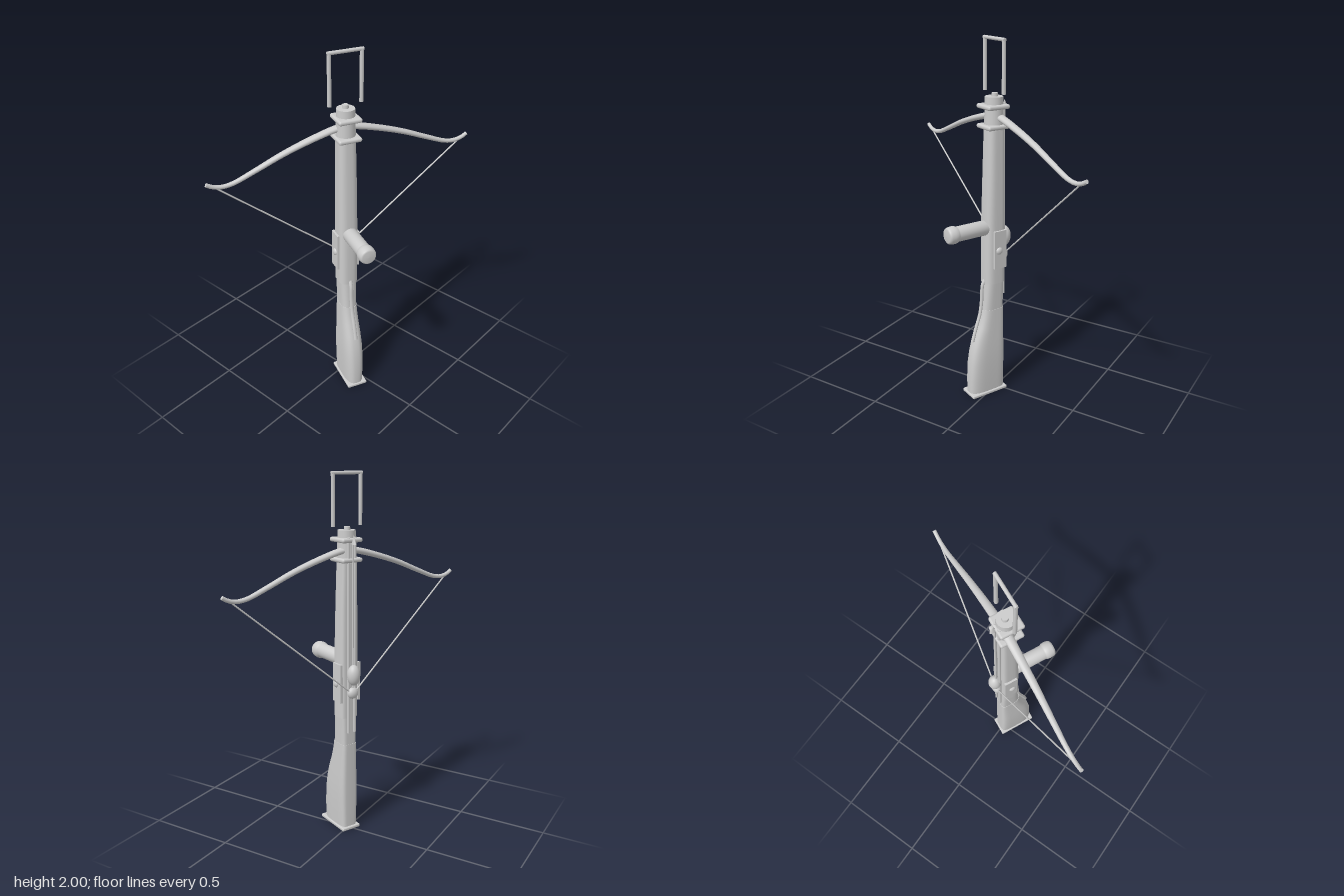
import * as THREE from 'three';
import { RoundedBoxGeometry } from 'three/addons/geometries/RoundedBoxGeometry.js';

const grey = new THREE.MeshStandardMaterial({ color: 0xcccccc });
grey.name = 'light grey';
const V = (x, y, z) => new THREE.Vector3(x, y, z);

// Skin a stack of closed rings and cap both ends
function skin(rings) {
  const n = rings[0].length, pos = [], idx = [];
  const push = p => pos.push(p.x, p.y, p.z) / 3 - 1;
  rings.forEach(r => r.forEach(push));
  for (let i = 0; i < rings.length - 1; i++) {
    for (let j = 0; j < n; j++) {
      const a = i * n + j, b = i * n + (j + 1) % n;
      idx.push(a, a + n, b, b, a + n, b + n);
    }
  }
  [rings[0], rings[rings.length - 1]].forEach((r, end) => {
    const c = r.reduce((s, p) => s.add(p), V(0, 0, 0)).divideScalar(n);
    const ci = push(c), first = r.map(push)[0];
    for (let j = 0; j < n; j++) {
      const a = first + j, b = first + (j + 1) % n;
      if (end) idx.push(ci, b, a); else idx.push(ci, a, b);
    }
  });
  const g = new THREE.BufferGeometry();
  g.setAttribute('position', new THREE.Float32BufferAttribute(pos, 3));
  g.setIndex(idx);
  g.computeVertexNormals();
  return g;
}

// Stock cross-section: rounded in front, squarer along the rail side
function stockRing([y, w, z0, z1]) {
  return Array.from({ length: 40 }, (_, k) => {
    const a = k / 40 * Math.PI * 2, c = Math.cos(a), s = Math.sin(a);
    const e = s > 0 ? 0.7 : 0.4;
    return V(Math.sign(c) * Math.abs(c) ** e * w / 2, y,
      (z0 + z1) / 2 + Math.sign(s) * Math.abs(s) ** e * (z1 - z0) / 2);
  });
}

export function createModel() {
  const root = new THREE.Group();
  root.name = 'crossbow';
  const bow = new THREE.Group();
  bow.name = 'body';
  bow.rotation.y = -0.437;
  root.add(bow);

  const add = (name, geo, x = 0, y = 0, z = 0) => {
    const m = new THREE.Mesh(geo, grey);
    m.name = name;
    m.position.set(x, y, z);
    bow.add(m);
    return m;
  };
  const rod = (name, a, b, r, sides = 10) => {
    const m = add(name, new THREE.CylinderGeometry(r, r, a.distanceTo(b), sides));
    m.position.copy(a).lerp(b, 0.5);
    m.quaternion.setFromUnitVectors(V(0, 1, 0), b.clone().sub(a).normalize());
    return m;
  };

  // Stock in three sections: y, width, back z, front z
  add('butt', skin([[0.02, 0.103, -0.028, 0.187], [0.1, 0.11, -0.028, 0.187], [0.2, 0.114, -0.028, 0.181],
    [0.28, 0.112, -0.028, 0.168], [0.35, 0.106, -0.028, 0.149], [0.42, 0.1, -0.028, 0.122],
    [0.48, 0.095, -0.028, 0.105], [0.525, 0.092, -0.028, 0.097]].map(stockRing)));
  add('wrist', skin([[0.525, 0.089, -0.026, 0.094], [0.6, 0.092, -0.026, 0.087],
    [0.69, 0.098, -0.026, 0.081]].map(stockRing)));
  add('forestock', skin([[0.685, 0.108, -0.028, 0.084], [1.0, 0.108, -0.028, 0.08],
    [1.3, 0.103, -0.028, 0.069], [1.545, 0.093, -0.028, 0.061]].map(stockRing)));
  add('buttPlate', new RoundedBoxGeometry(0.118, 0.018, 0.23, 3, 0.006), 0, 0.009, 0.077);

  // Bow mount at the nose
  add('mountCore', new THREE.CylinderGeometry(0.047, 0.052, 0.17, 32), 0, 1.62, 0.012);
  for (const y of [1.552, 1.655])
    add('mountFlange', new RoundedBoxGeometry(0.126, 0.024, 0.131, 3, 0.011), 0, y, 0.017);
  add('noseKnob', new THREE.CylinderGeometry(0.016, 0.018, 0.025, 20), 0, 1.71, 0.008);

  // Foot stirrup
  for (const s of [-1, 1])
    rod('stirrupBar', V(s * 0.085, 1.725, 0.01), V(s * 0.085, 1.99, 0.01), 0.0105);
  rod('stirrupTop', V(-0.094, 1.99, 0.01), V(0.094, 1.99, 0.01), 0.0095);

  // Limbs: curved, tapering, flatter in height than in depth
  const path = new THREE.CatmullRomCurve3([[0, 1.603], [0.05, 1.598], [0.185, 1.563], [0.33, 1.515],
    [0.478, 1.454], [0.59, 1.411], [0.645, 1.404], [0.69, 1.413], [0.722, 1.431]].map(([x, y]) => V(x, y, 0)));
  const rings = Array.from({ length: 33 }, (_, i) => {
    const t = i / 32, p = path.getPointAt(t), d = path.getTangentAt(t), up = V(-d.y, d.x, 0);
    const ry = 0.0175 - 0.007 * t, rz = 0.025 - 0.015 * t;
    return Array.from({ length: 16 }, (_, k) => {
      const a = k / 16 * Math.PI * 2;
      return p.clone().addScaledVector(up, Math.sin(a) * ry).add(V(0, 0, Math.cos(a) * rz));
    });
  });
  const limbGeo = skin(rings);
  for (const s of [1, -1]) {
    add('limb', limbGeo).rotation.y = s > 0 ? 0 : Math.PI;
    rod('bowstring', V(s * 0.682, 1.408, 0), V(s * 0.01, 0.835, -0.048), 0.0043, 8);
  }

  // Rails along the back, bolt between them
  for (const x of [-0.02, 0.02])
    rod('rail', V(x, 0.6, -0.034), V(x, 1.67, -0.034), 0.0085);
  rod('boltShaft', V(0, 0.83, -0.046), V(0, 1.65, -0.046), 0.005);
  add('boltHead', new THREE.ConeGeometry(0.02, 0.05, 12), 0, 1.66, -0.054).scale.x = 0.5;

  // String catch and cocking lug
  add('stringCatch', new THREE.SphereGeometry(0.032, 20, 14), 0, 0.832, -0.046).scale.z = 0.75;
  add('cockingLug', new THREE.SphereGeometry(0.036, 24, 18), 0, 0.935, -0.054).scale.y = 1.6;

  // Side plates with round buttons
  for (const s of [-1, 1]) {
    add('sidePlate', new THREE.BoxGeometry(0.014, 0.216, 0.075), s * 0.058, 0.885, 0.013);
    add('sideButton', new THREE.SphereGeometry(0.021, 20, 14), s * 0.063, 0.88, 0.021).scale.x = 0.65;
  }

  // Front grip with a thicker, softly rounded end
  const grip = [[0, 0], [0.041, 0], [0.041, 0.185], [0.043, 0.192], [0.047, 0.2], [0.048, 0.215],
    [0.046, 0.234], [0.042, 0.243], [0.034, 0.248], [0, 0.249]];
  add('grip', new THREE.LatheGeometry(grip.map(([r, h]) => new THREE.Vector2(r, h)), 32), 0, 1.005, 0.06)
    .rotation.x = Math.PI / 2;

  // Long trigger lever following the wrist
  const lever = new THREE.CatmullRomCurve3([V(0, 0.705, 0.076), V(0, 0.67, 0.09), V(0, 0.58, 0.096),
    V(0, 0.5, 0.108), V(0, 0.42, 0.134), V(0, 0.34, 0.158)]);
  add('triggerLever', skin(Array.from({ length: 25 }, (_, i) => {
    const p = lever.getPointAt(1 - i / 24);
    return Array.from({ length: 12 }, (_, k) => {
      const a = k / 12 * Math.PI * 2;
      return V(Math.cos(a) * 0.011, p.y, p.z + Math.sin(a) * 0.009);
    });
  })));

  return root;
}
